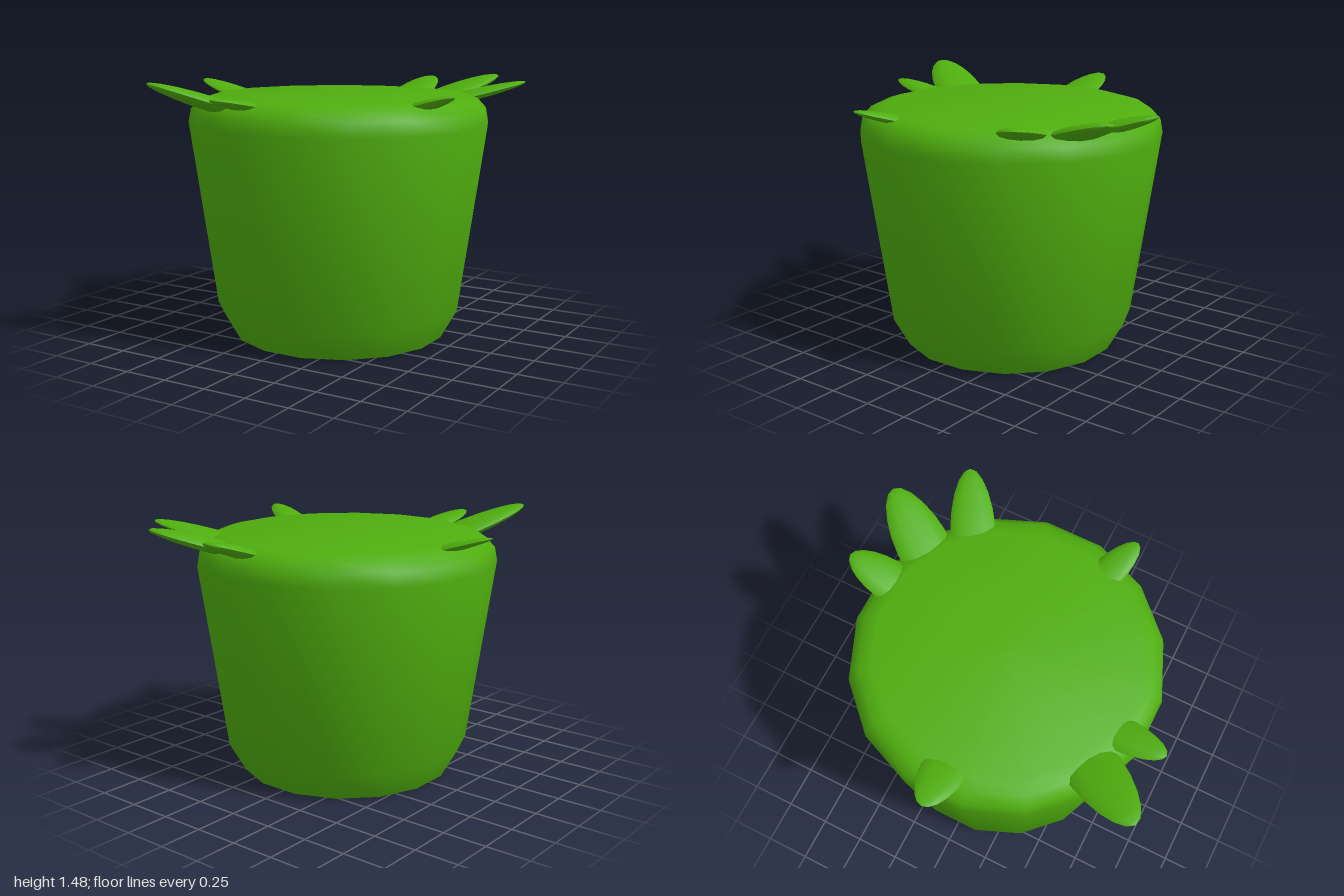
import * as THREE from 'three';
import { toCreasedNormals } from 'three/addons/utils/BufferGeometryUtils.js';

const green = new THREE.MeshStandardMaterial({ color: 0x4fae0e });
green.name = 'leaf green';

const SIDES = 16;
const TOP = 1.375;

// Tapered, closed body with a chamfered foot and a rounded shoulder
function makeBody() {
  const profile = [
    [0, 0], [0.614, 0], [0.706, 0.165], [0.856, 1.22],
    [0.842, 1.295], [0.79, 1.352], [0.715, TOP], [0, TOP],
  ].map(([r, y]) => new THREE.Vector2(r, y));
  const lathe = new THREE.LatheGeometry(profile, SIDES, Math.PI / SIDES);
  const body = new THREE.Mesh(toCreasedNormals(lathe, 0.75), green);
  body.name = 'body';
  body.position.x = 0.038;
  return body;
}

// Flattened, slightly pointed leaf that rises outward from the rim
function makePetal({ base, tip, width, thick, tipY }) {
  const start = new THREE.Vector3(base[0], TOP - thick * 0.45, base[1]);
  const end = new THREE.Vector3(tip[0], tipY, tip[1]);
  const centre = start.clone().lerp(end, 0.1);
  const along = end.clone().sub(centre);
  const half = along.length();

  const geo = new THREE.SphereGeometry(1, 12, 10);
  geo.rotateX(Math.PI / 2);
  const p = geo.attributes.position;
  for (let i = 0; i < p.count; i++) {
    const z = p.getZ(i);
    const taper = 1 - 0.12 * Math.max(0, z);
    p.setXYZ(i, p.getX(i) * taper * width / 2, p.getY(i) * taper * thick / 2, z * half);
  }
  geo.computeVertexNormals();

  const petal = new THREE.Mesh(toCreasedNormals(geo, 1.2), green);
  petal.name = 'petal';
  petal.position.copy(centre);
  petal.lookAt(end);
  return petal;
}

export function createModel() {
  const model = new THREE.Group();
  model.name = 'pottedStump';
  model.add(makeBody());

  // Petals as base and tip on the ground plan (x, z)
  const petals = new THREE.Group();
  petals.name = 'petals';
  [
    { base: [0.13, -0.745], tip: [0.14, -1.0], width: 0.24, thick: 0.07, tipY: 1.425 },
    { base: [0.385, -0.675], tip: [0.59, -0.98], width: 0.3, thick: 0.08, tipY: 1.45 },
    { base: [0.585, -0.485], tip: [0.9, -0.665], width: 0.25, thick: 0.065, tipY: 1.435 },
    { base: [-0.655, 0.005], tip: [-0.915, 0.005], width: 0.24, thick: 0.05, tipY: 1.43 },
    { base: [0.69, 0.27], tip: [0.91, 0.36], width: 0.18, thick: 0.055, tipY: 1.415 },
    { base: [-0.32, 0.66], tip: [-0.535, 0.99], width: 0.3, thick: 0.085, tipY: 1.47 },
    { base: [-0.1, 0.725], tip: [-0.12, 0.985], width: 0.19, thick: 0.055, tipY: 1.4 },
  ].forEach((spec) => petals.add(makePetal(spec)));
  model.add(petals);

  return model;
}
